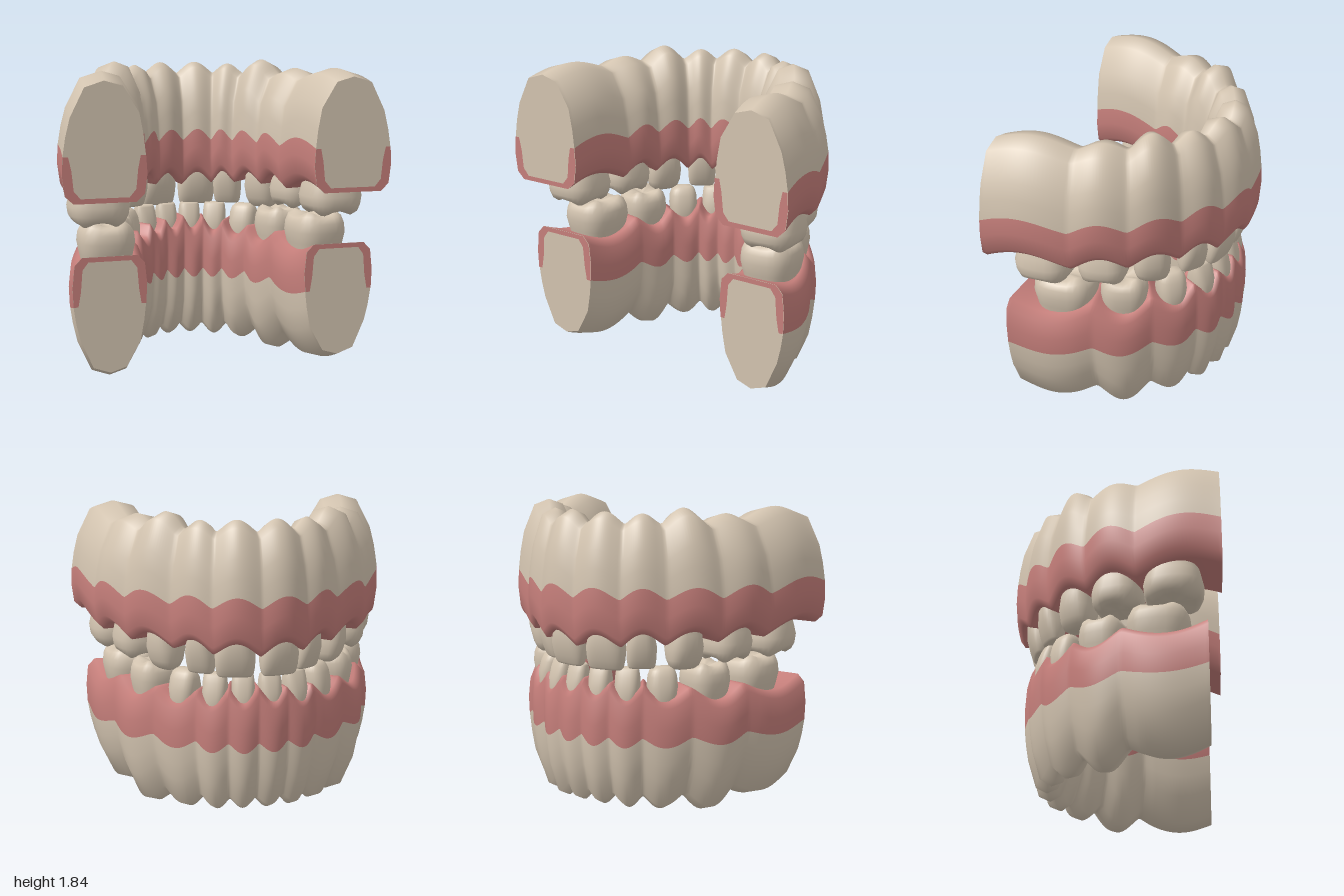
import * as THREE from 'three';

const bone = new THREE.MeshStandardMaterial({ color: 0xd3c4b0 });
bone.name = 'ivory';
const gum = new THREE.MeshStandardMaterial({ color: 0xc67f7b });
gum.name = 'gumPink';

const V = (x, z) => new THREE.Vector3(x, 0, z);
const lerp = THREE.MathUtils.lerp;

// Each arch: plan curves from the apex to one end, gaps between teeth, root lengths and crowns.
// Crown: [station, share of thickness, width, depth, tip height]
const UPPER = {
  dir: 1,
  outer: [[0, -.645], [.24, -.6], [.48, -.44], [.74, -.2], [.92, .16], [1, .64]],
  inner: [[0, -.3], [.14, -.27], [.25, -.2], [.35, -.03], [.43, .22], [.5, .64]],
  gaps: [0, 1.2, 2.15, 3.1, 3.95, 5.15],
  rootBase: 1.75, rootAmp: [.07, .06, .09, .045, .06],
  margin: 1.065, marginAmp: .075, papilla: .025,
  line: 1.33, lineAmp: .07, crownBase: 1.22,
  crowns: [[.66, .45, .24, .17, .9], [1.66, .45, .18, .17, .91], [2.64, .46, .22, .21, .9],
    [3.54, .48, .3, .31, .935], [4.4, .47, .35, .36, .93]],
};
const LOWER = {
  dir: -1,
  outer: [[0, -.57], [.23, -.53], [.45, -.4], [.69, -.17], [.85, .13], [.93, .55]],
  inner: [[0, -.28], [.14, -.25], [.25, -.17], [.34, -.02], [.41, .2], [.48, .55]],
  gaps: [0, .8, 1.65, 2.65, 3.75, 5.15],
  rootBase: .11, rootAmp: [.06, .07, .08, .11, .08],
  margin: .79, marginAmp: .08, papilla: .05,
  line: .5, lineAmp: .055, crownBase: .62,
  crowns: [[.4, .37, .14, .15, .91], [1.22, .37, .15, .16, .91], [2.15, .4, .18, .18, .91],
    [3.2, .48, .28, .28, .92], [4.3, .49, .37, .34, .93]],
};

// Mirrored plan curve with stations -5..5
function planCurve(half) {
  const right = half.map(([x, z]) => V(x, z));
  const left = half.slice(1).reverse().map(([x, z]) => V(-x, z));
  const curve = new THREE.CatmullRomCurve3([...left, ...right]);
  return (k) => curve.getPoint((k + 5) / 10);
}

// Bulge over each tooth: 0 in a gap, 1 at the tooth centre
function bulge(arch, k) {
  const a = Math.abs(k);
  let i = 0;
  while (i < 4 && a > arch.gaps[i + 1]) i++;
  const t = (a - arch.gaps[i]) / (arch.gaps[i + 1] - arch.gaps[i]);
  return { i, f: Math.pow(Math.max(0, Math.sin(Math.PI * t)), 1.2) };
}

// Cross-section as [share across, height]; first GUM + 1 points bound the gum
const GUM = 8;
function section(arch, k) {
  const { i, f } = bulge(arch, k), d = arch.dir;
  const front = Math.max(0, 1 - Math.abs(k) / 3);
  const m = arch.margin + d * (arch.marginAmp * f - arch.papilla * front);
  const line = arch.line + d * arch.lineAmp * f;
  const top = arch.rootBase + d * arch.rootAmp[i] * f;
  const mid = (line + top - d * .2) / 2;
  const wide = lerp(m, line, .6);
  return [
    [.01, line], [0, wide], [.03, m + d * .045], [.13, m], [.5, m], [.87, m], [.97, m + d * .045], [1, wide], [.985, line],
    [.96, mid], [.91, top - d * .18], [.72, top - d * .03], [.5, top], [.27, top - d * .035], [.1, top - d * .2], [.045, mid],
  ];
}

function sectionPoints(arch, k, O, I) {
  const o = O(k), n = I(k), w = o.distanceTo(n);
  const inset = .022 * (1 - bulge(arch, k).f) * Math.min(1, 5.4 - Math.abs(k)) / w;
  return section(arch, k).map(([a, y]) => {
    const p = o.clone().lerp(n, .5 + (a - .5) * (1 - 2 * inset));
    p.y = y;
    return p;
  });
}

// Ridged arch body, with gum and bone as material groups
function archBody(arch, O, I) {
  const steps = 220, pos = [], gumIdx = [], boneIdx = [];
  const n = section(arch, 0).length;
  for (let s = 0; s <= steps; s++) {
    const pts = sectionPoints(arch, -5 + 10 * s / steps, O, I);
    pts.forEach((p) => pos.push(p.x, p.y, p.z));
    if (s === steps) break;
    for (let j = 0; j < n; j++) {
      const a = s * n + j, b = s * n + (j + 1) % n, c = a + n, e = b + n;
      const list = j < GUM ? gumIdx : boneIdx;
      if (arch.dir > 0) list.push(a, c, b, c, e, b);
      else list.push(a, b, c, c, b, e);
    }
  }
  const g = new THREE.BufferGeometry();
  g.setAttribute('position', new THREE.Float32BufferAttribute(pos, 3));
  g.setIndex([...gumIdx, ...boneIdx]);
  g.addGroup(0, gumIdx.length, 0);
  g.addGroup(gumIdx.length, boneIdx.length, 1);
  g.computeVertexNormals();
  return new THREE.Mesh(g, [gum, bone]);
}

// Flat cut face at one end, with a gum rim
function endCap(arch, k, O, I) {
  const group = new THREE.Group();
  const pts = sectionPoints(arch, k, O, I), z = pts[0].z;
  const flat = pts.map((p) => new THREE.Vector2(p.x, p.y));
  const face = new THREE.Mesh(new THREE.ShapeGeometry(new THREE.Shape(flat)), bone);
  face.position.z = z;
  face.name = 'cutFace';
  const rim = flat.slice(0, GUM + 1);
  const cx = (rim[0].x + rim[GUM].x) / 2;
  const inside = rim.map((p, j) => new THREE.Vector2(
    cx + (p.x - cx) * (j === 0 || j === GUM ? .87 : .78),
    p.y + (j === 0 || j === GUM ? 0 : arch.dir * .028)));
  const band = new THREE.Mesh(new THREE.ShapeGeometry(new THREE.Shape([...rim, ...inside.reverse()])), gum);
  band.position.z = z + .004;
  band.name = 'gumRim';
  group.add(face, band);
  return group;
}

// Crown rings: [height share, width scale, depth scale, cusp height]
const INCISOR = [[0, .6, .8, 0], [.35, .84, 1, 0], [.6, 1, .95, 0], [.82, .97, .72, 0], [.96, .9, .5, 0], [1, .8, .38, 0], [1, .3, .15, 0]];
const CANINE = [[0, .65, .8, 0], [.35, .88, 1, 0], [.6, 1, 1, 0], [.82, .95, .82, 0], [.94, .82, .62, 0], [1, .6, .4, 0], [1.01, .2, .15, 0]];
const MOLAR = [[0, .75, .75, 0], [.4, .92, .92, 0], [.62, 1, 1, 0], [.8, .97, .96, 0], [.92, .88, .86, .008], [.98, .7, .68, .014], [.95, .4, .4, .008], [.91, .12, .12, 0]];

function crown(rings, w, depth, h) {
  const seg = 28, pos = [], idx = [];
  const round = (v) => Math.sign(v) * Math.pow(Math.abs(v), .75);
  rings.forEach(([t, sx, sz, cusp], r) => {
    for (let j = 0; j < seg; j++) {
      const q = j / seg * Math.PI * 2;
      pos.push(round(Math.cos(q)) * sx * w / 2, t * h - cusp * Math.cos(4 * q), round(Math.sin(q)) * sz * depth / 2);
      if (r === rings.length - 1) continue;
      const a = r * seg + j, b = r * seg + (j + 1) % seg;
      idx.push(a, a + seg, b, b, a + seg, b + seg);
    }
  });
  // closing fan
  const last = (rings.length - 1) * seg, c = pos.length / 3;
  pos.push(0, rings[rings.length - 1][0] * h, 0);
  for (let j = 0; j < seg; j++) idx.push(last + j, c, last + (j + 1) % seg);
  const g = new THREE.BufferGeometry();
  g.setAttribute('position', new THREE.Float32BufferAttribute(pos, 3));
  g.setIndex(idx);
  g.computeVertexNormals();
  return g;
}

function buildArch(arch, name) {
  const group = new THREE.Group();
  group.name = name;
  const O = planCurve(arch.outer), I = planCurve(arch.inner);
  const body = archBody(arch, O, I);
  body.name = name + 'Body';
  group.add(body);
  arch.crowns.forEach(([k, share, w, depth, tip], i) => {
    const kind = i < 2 ? 'incisor' : i === 2 ? 'canine' : 'molar';
    const rings = { incisor: INCISOR, canine: CANINE, molar: MOLAR }[kind];
    const geo = crown(rings, w, depth, Math.abs(tip - arch.crownBase));
    for (const side of [-1, 1]) {
      const o = O(side * k), n = I(side * k), out = o.clone().sub(n);
      const tooth = new THREE.Mesh(geo, bone);
      tooth.name = kind;
      tooth.position.copy(o.lerp(n, share)).setY(arch.crownBase);
      tooth.rotation.set(0, Math.atan2(out.x, out.z), arch.dir > 0 ? Math.PI : 0);
      group.add(tooth);
    }
  });
  for (const k of [-5, 5]) {
    const cap = endCap(arch, k, O, I);
    cap.name = 'archEnd';
    group.add(cap);
  }
  return group;
}

export function createModel() {
  const model = new THREE.Group();
  model.name = 'dentalArches';
  model.add(buildArch(UPPER, 'upperArch'), buildArch(LOWER, 'lowerArch'));
  return model;
}
